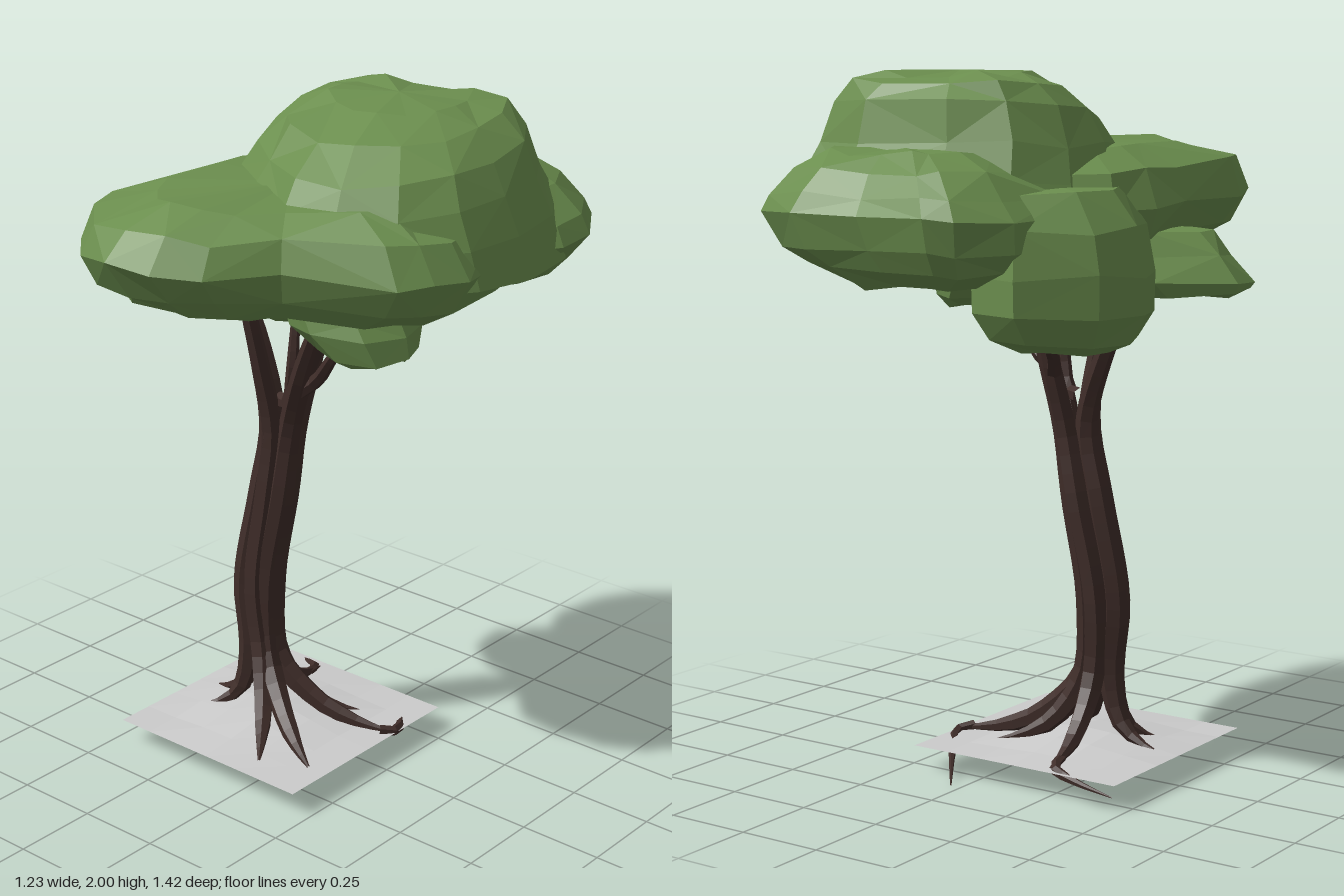
import * as THREE from 'three';

const leafMat = new THREE.MeshStandardMaterial({ color: 0x6b8e4e, flatShading: true });
const barkMat = new THREE.MeshStandardMaterial({ color: 0x3f2d29, flatShading: true });
const groundMat = new THREE.MeshStandardMaterial({ color: 0xcccccc, flatShading: true, side: THREE.DoubleSide });

let seed = 7;
const jitter = (a) => {
  seed = (seed * 16807) % 2147483647;
  return (seed / 2147483647 - 0.5) * 2 * a;
};

// Foliage clump: a plan outline [x, z] stacked in layers [y, scale, dx, dz, slope along z]
function clump(name, outline, layers) {
  const n = outline.length;
  const cx = outline.reduce((s, p) => s + p[0], 0) / n;
  const cz = outline.reduce((s, p) => s + p[1], 0) / n;
  const pos = [], index = [];
  layers.forEach(([y, s, dx = 0, dz = 0, slope = 0]) => {
    for (const [x, z] of outline) {
      const k = s + (s < 0.97 ? jitter(0.03) : 0);
      pos.push(cx + dx + (x - cx) * k, y + slope * (z - cz) * k + jitter(0.012), cz + dz + (z - cz) * k);
    }
  });
  const L = layers.length, bottom = n * L, top = bottom + 1;
  const [y0, , ax = 0, az = 0] = layers[0], [y1, , bx = 0, bz = 0] = layers[L - 1];
  pos.push(cx + ax, y0, cz + az, cx + bx, y1 + 0.01, cz + bz);
  for (let i = 0; i < n; i++) {
    const j = (i + 1) % n;
    for (let l = 0; l < L - 1; l++) {
      const a = l * n + i, b = l * n + j, c = a + n, d = b + n;
      if ((i + l) % 2) index.push(a, c, b, b, c, d);
      else index.push(a, c, d, a, d, b);
    }
    index.push(bottom, i, j, top, (L - 1) * n + j, (L - 1) * n + i);
  }
  const geo = new THREE.BufferGeometry();
  geo.setAttribute('position', new THREE.Float32BufferAttribute(pos, 3));
  geo.setIndex(index);
  geo.computeVertexNormals();
  const mesh = new THREE.Mesh(geo, leafMat);
  mesh.name = name;
  return mesh;
}

// Tube whose radius follows a list of evenly spaced values
function taperedTube(name, points, radii, segments) {
  const sides = 6;
  const curve = new THREE.CatmullRomCurve3(points.map((p) => new THREE.Vector3(...p)));
  const geo = new THREE.TubeGeometry(curve, segments, 1, sides);
  const pos = geo.attributes.position, v = new THREE.Vector3();
  for (let i = 0; i <= segments; i++) {
    const t = i / segments, c = curve.getPointAt(t);
    const f = t * (radii.length - 1), k = Math.min(Math.floor(f), radii.length - 2);
    const r = THREE.MathUtils.lerp(radii[k], radii[k + 1], f - k);
    for (let j = 0; j <= sides; j++) {
      const id = i * (sides + 1) + j;
      v.fromBufferAttribute(pos, id).sub(c).multiplyScalar(r).add(c);
      pos.setXYZ(id, v.x, v.y, v.z);
    }
  }
  geo.computeVertexNormals();
  const mesh = new THREE.Mesh(geo, barkMat);
  mesh.name = name;
  return mesh;
}

export function createModel() {
  const model = new THREE.Group();
  model.name = 'tree';

  // Ground patch, slightly raised around the trunk
  const geo = new THREE.PlaneGeometry(0.68, 0.68, 6, 6).rotateX(-Math.PI / 2).translate(-0.13, 0, 0.04);
  const gp = geo.attributes.position;
  for (let i = 0; i < gp.count; i++) {
    const d = Math.hypot(gp.getX(i) + 0.17, gp.getZ(i) - 0.04);
    gp.setY(i, 0.07 + 0.04 * Math.max(0, 1 - d / 0.3));
  }
  geo.computeVertexNormals();
  const ground = new THREE.Mesh(geo, groundMat);
  ground.name = 'ground';
  model.add(ground);

  // Trunk strands, each running from a root to a branch tip
  const trunk = new THREE.Group();
  trunk.name = 'trunk';
  const spine = [[0.27, -0.2, 0.04], [0.5, -0.22, 0.03], [0.78, -0.18, 0.01], [1.0, -0.145, 0.005]];
  const strands = [ // root, branch tip
    [[0.2, 0.075, -0.08], [0.1, 1.43, 0.08]],
    [[0.15, 0.075, 0.24], [0.1, 1.43, 0.12]],
    [[0.01, 0.07, 0.3], [-0.18, 1.46, 0.14]],
    [[-0.35, 0.07, 0.15], [-0.2, 1.46, 0.12]],
    [[-0.41, 0.07, 0.03], [-0.38, 1.42, -0.06]],
    [[-0.24, 0.07, -0.27], [-0.09, 1.49, -0.14]],
    [[0.05, 0.07, -0.13], [-0.06, 1.49, -0.13]],
  ];
  strands.forEach(([root, tip]) => {
    const a0 = Math.atan2(root[2] - 0.04, root[0] + 0.19);
    const a1 = Math.atan2(tip[2], tip[0] + 0.14);
    const turn = Math.atan2(Math.sin(a1 - a0), Math.cos(a1 - a0));
    const mid = (k, y) => [-0.19 + (root[0] + 0.19) * k, y, 0.04 + (root[2] - 0.04) * k];
    const points = [root, mid(0.72, 0.088), mid(0.42, 0.133)];
    spine.forEach(([y, x, z], i) => {
      const a = a0 + (turn * i) / 3;
      points.push([x + 0.041 * Math.cos(a), y, z + 0.041 * Math.sin(a)]);
    });
    points.push([(tip[0] - 0.14) / 2, 1.2, tip[2] * 0.62], tip);
    trunk.add(taperedTube('trunkStrand', points,
      [0.004, 0.026, 0.035, 0.038, 0.037, 0.036, 0.035, 0.032, 0.028, 0.024, 0.018], 30));
  });

  // Root ends that dip below the ground
  const rootEnds = [
    [[0.17, 0.08, -0.06], [0.2, 0.07, -0.1], [0.14, 0.05, -0.21], [0.03, 0.0, -0.37]],
    [[-0.23, 0.08, -0.2], [-0.25, 0.07, -0.26], [-0.34, 0.055, -0.29], [-0.47, 0.04, -0.31]],
  ];
  rootEnds.forEach((p) => trunk.add(taperedTube('rootEnd', p, [0.016, 0.015, 0.008, 0.002], 8)));

  // Thin side branches
  const twigs = [
    [[-0.15, 1.08, 0.01], [-0.1, 1.09, 0.03], [-0.07, 1.2, 0.05], [-0.07, 1.4, 0.03]],
    [[-0.06, 1.13, 0.05], [0.02, 1.19, 0.05], [0.1, 1.28, 0.08], [0.18, 1.38, 0.1]],
    [[-0.11, 1.13, -0.06], [-0.15, 1.2, -0.12], [-0.19, 1.26, -0.21], [-0.22, 1.34, -0.3]],
  ];
  twigs.forEach((p) => trunk.add(taperedTube('sideBranch', p, [0.024, 0.02, 0.016, 0.01], 8)));
  model.add(trunk);

  // Foliage
  const foliage = new THREE.Group();
  foliage.name = 'foliage';
  foliage.add(
    clump('mainFoliage', [
      [0.55, -0.14], [0.61, 0.13], [0.58, 0.24], [0.53, 0.33], [0.25, 0.46], [0.12, 0.62], [0, 0.69],
      [-0.14, 0.71], [-0.28, 0.66], [-0.38, 0.56], [-0.43, 0.43], [-0.44, 0.1], [-0.44, -0.05],
      [-0.4, -0.2], [-0.25, -0.38], [0, -0.48], [0.3, -0.45], [0.5, -0.3],
    ], [
      [1.46, 0.45, 0, 0, 0.08], [1.48, 0.72, 0, 0, 0.1], [1.54, 0.9, 0, 0, 0.06], [1.63, 1, 0, 0, 0.05],
      [1.73, 0.91, 0, 0, 0.02], [1.79, 0.64],
    ]),
    clump('topFoliage', [
      [0.54, -0.1], [0.53, 0.08], [0.44, 0.22], [0.3, 0.3], [0.14, 0.32], [-0.05, 0.23], [-0.2, 0.1],
      [-0.26, -0.05], [-0.27, -0.24], [-0.19, -0.38], [-0.03, -0.45], [0.25, -0.47], [0.42, -0.42], [0.51, -0.28],
    ], [
      [1.58, 1.17, 0.01, -0.03], [1.7, 1.1, 0.01, -0.01], [1.79, 1.02, 0, 0, -0.04], [1.885, 0.92, 0, -0.01, -0.08],
      [1.945, 0.74, -0.02, -0.05, -0.08], [1.985, 0.48, -0.03, -0.1],
    ]),
    clump('backFoliage', [
      [0.59, -0.32], [0.5, -0.1], [0.2, 0], [-0.2, -0.1], [-0.34, -0.3], [-0.31, -0.54], [-0.21, -0.67],
      [-0.13, -0.7], [0.1, -0.68], [0.3, -0.71], [0.47, -0.63], [0.58, -0.46],
    ], [
      [1.42, 0.5, -0.06], [1.47, 0.76, -0.05], [1.53, 0.92, -0.02], [1.61, 1], [1.67, 0.92], [1.73, 0.74], [1.78, 0.5],
    ]),
    clump('backRightFoliage', [
      [-0.06, -0.25], [-0.15, -0.08], [-0.3, -0.02], [-0.46, -0.08], [-0.51, -0.21], [-0.47, -0.38],
      [-0.3, -0.54], [-0.12, -0.48],
    ], [
      [1.25, 0.5], [1.28, 0.78], [1.36, 0.97], [1.46, 0.98], [1.58, 0.9, 0.01], [1.68, 0.74, 0.05],
    ]),
    clump('rightFoliage', [
      [0.05, 0.05], [0, 0.2], [-0.2, 0.33], [-0.43, 0.33], [-0.59, 0.23], [-0.61, 0.1], [-0.45, -0.08], [-0.2, -0.15],
    ], [
      [1.375, 0.6, -0.05], [1.385, 0.8, -0.05], [1.42, 1], [1.48, 0.84, 0.02], [1.56, 0.66, 0.02],
    ]),
    clump('leftFoliage', [
      [0.36, 0.06], [0.3, 0.18], [0.16, 0.25], [0.04, 0.2], [0, 0.06], [0.06, -0.08], [0.2, -0.12], [0.32, -0.05],
    ], [
      [1.315, 0.45, 0.06], [1.335, 0.74, 0.05], [1.4, 0.96], [1.46, 0.94, -0.03], [1.53, 0.85, -0.03],
    ]),
  );
  model.add(foliage);
  return model;
}
